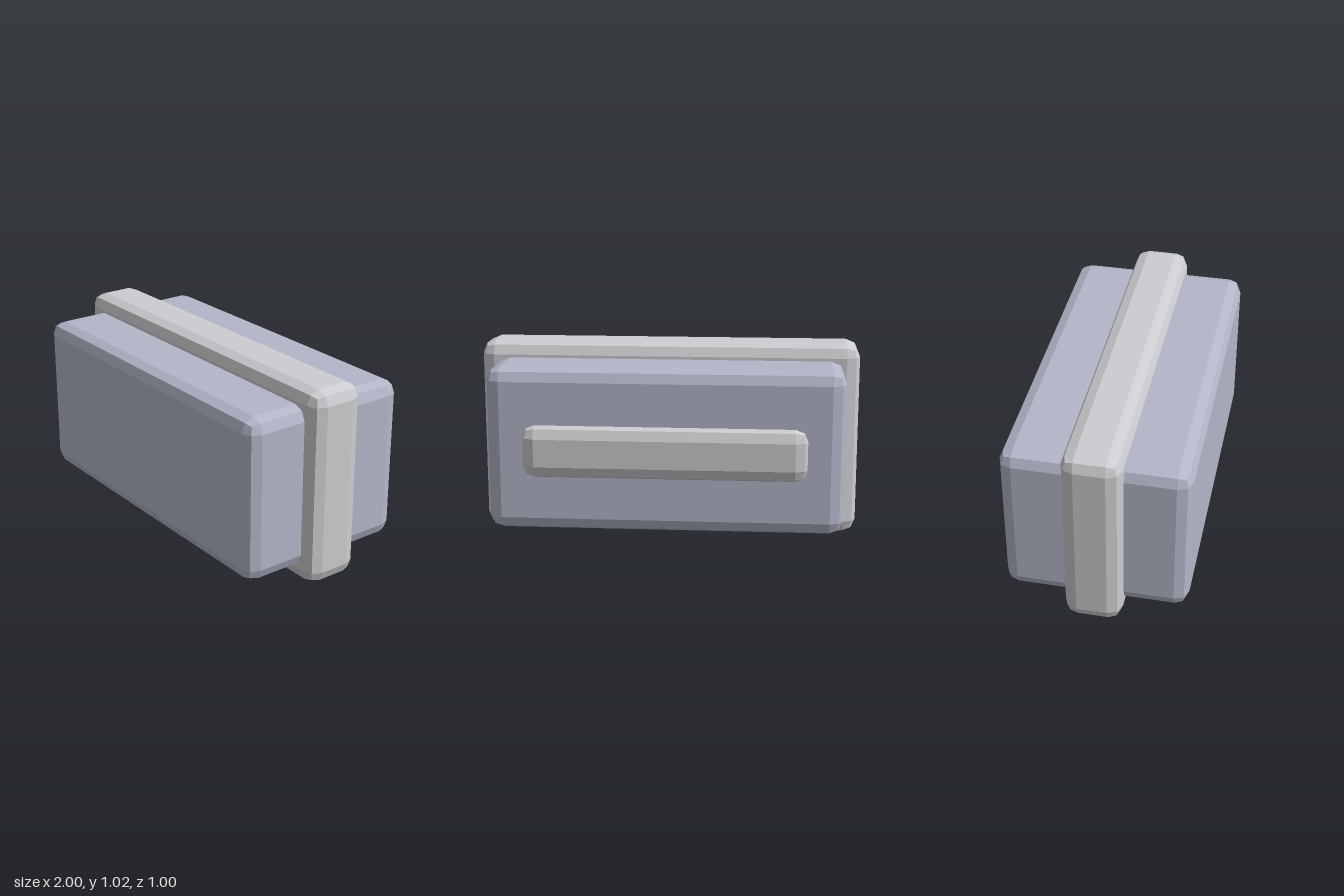
import * as THREE from 'three';
import { RoundedBoxGeometry } from 'three/addons/geometries/RoundedBoxGeometry.js';

const BEVEL = 0.07;

// Bevelled block given by its lower and upper corners.
function block(name, min, max, material) {
  const size = max.map((v, i) => v - min[i]);
  const mesh = new THREE.Mesh(new RoundedBoxGeometry(...size, 1, BEVEL), material);
  mesh.position.set(...max.map((v, i) => (v + min[i]) / 2));
  mesh.name = name;
  return mesh;
}

export function createModel() {
  const blueGrey = new THREE.MeshStandardMaterial({ color: 0xb2b6c8, flatShading: true });
  blueGrey.name = 'blueGrey';
  const lightGrey = new THREE.MeshStandardMaterial({ color: 0xcdccd0, flatShading: true });
  lightGrey.name = 'lightGrey';

  const model = new THREE.Group();
  model.name = 'bandedBlock';
  model.add(
    // Main body, running through the band
    block('body', [-0.917, 0.085, -0.445], [0.917, 0.94, 0.498], blueGrey),
    // Wider band around the middle
    block('band', [-1, 0, -0.122], [1, 1.025, 0.175], lightGrey),
    // Raised bar on the back
    block('backBar', [-0.735, 0.37, -0.498], [0.735, 0.655, -0.34], lightGrey),
  );
  return model;
}
